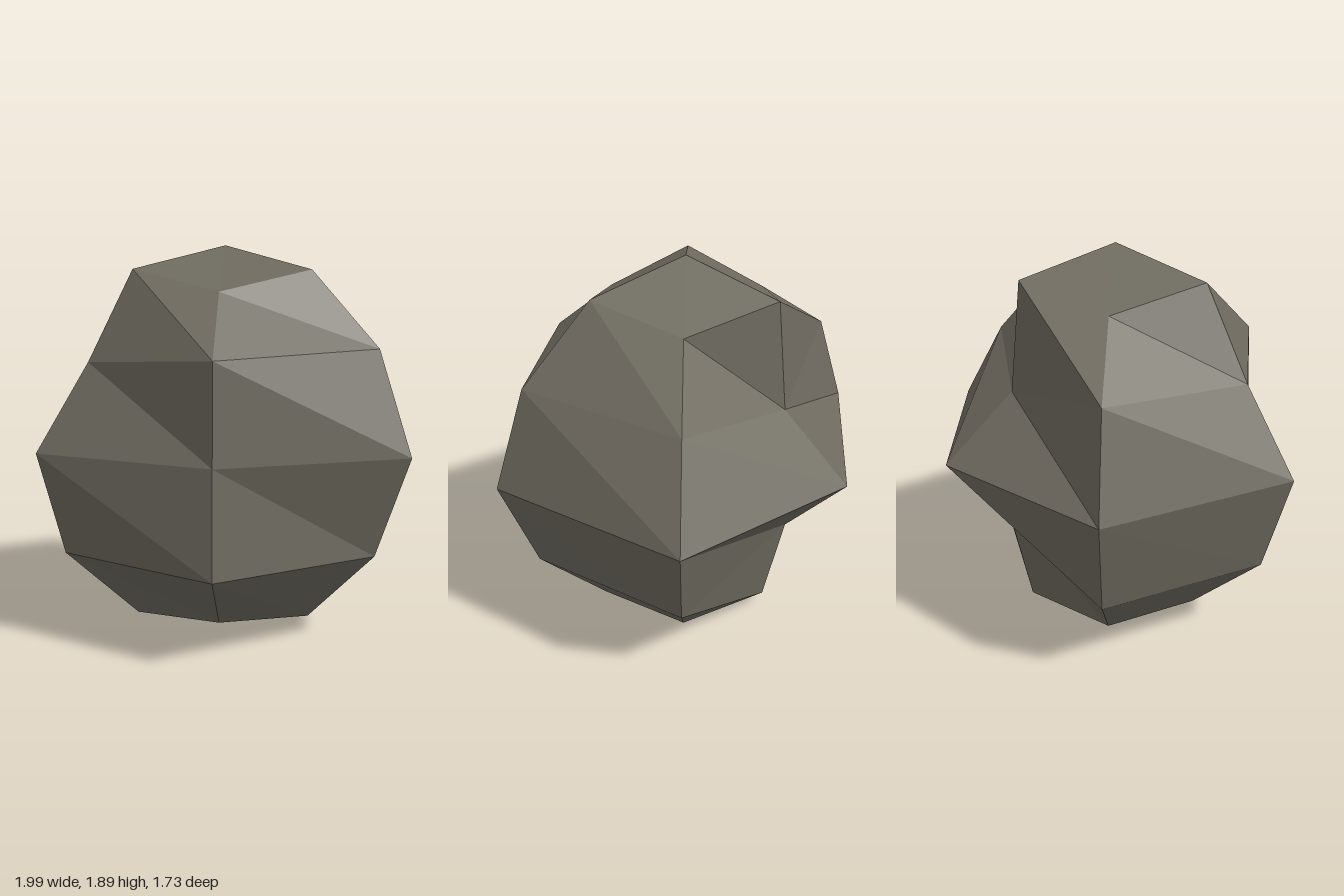
import * as THREE from 'three';

// Distance of each corner from the rock's core: one row per ring from top to
// bottom, columns run right, front right, front left, left, back left, back right.
const RADII = [
  [0.97, 0.97, 0.97, 0.97, 0.97, 0.97],
  [0.855, 0.98, 0.855, 0.975, 0.86, 0.975],
  [0.94, 0.83, 0.905, 0.97, 0.855, 0.63],
  [0.98, 0.98, 0.815, 1.01, 1.015, 0.89],
  [0.98, 0.985, 0.98, 0.97, 0.965, 0.68],
  [0.98, 0.98, 0.935, 0.98, 0.97, 0.97],
  [0.92, 0.92, 0.92, 0.92, 0.92, 0.92],
];

// Coarse sphere with its corners pushed in or out
function rockGeometry() {
  const sides = 6, rings = 6;
  const sphere = new THREE.SphereGeometry(1, sides, rings);
  const pos = sphere.attributes.position;
  const p = new THREE.Vector3();
  for (let r = 0; r <= rings; r++) {
    for (let s = 0; s <= sides; s++) {
      const i = r * (sides + 1) + s;
      p.fromBufferAttribute(pos, i).multiplyScalar(RADII[r][s % sides]);
      pos.setXYZ(i, p.x, p.y, p.z);
    }
  }
  const flat = sphere.toNonIndexed();
  flat.computeVertexNormals();
  return flat;
}

export function createModel() {
  const stone = new THREE.MeshStandardMaterial({ color: 0x6e6a5f, flatShading: true });
  stone.name = 'stone';

  const rock = new THREE.Mesh(rockGeometry(), stone);
  rock.name = 'rock';
  rock.position.set(-0.02, 0.92, 0.01);

  const group = new THREE.Group();
  group.name = 'boulder';
  group.add(rock);
  return group;
}
